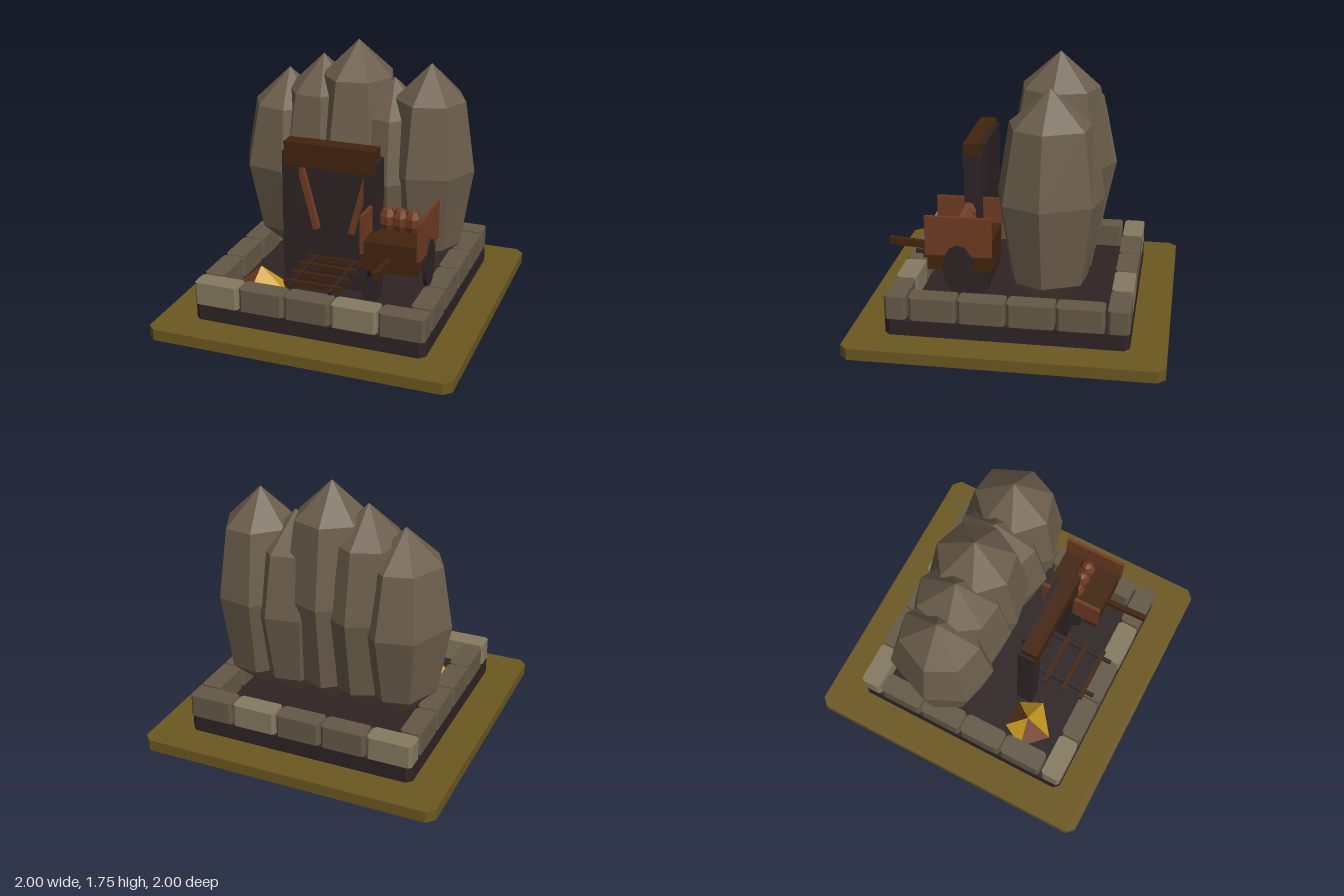
import * as THREE from 'three';

const mat = (name, color) => Object.assign(new THREE.MeshStandardMaterial({ color, flatShading: true }), { name });

export function createModel() {
  const M = {
    grass: mat('olive ground', 0x6b5720),
    dark: mat('dark timber', 0x2e2424),
    stone: mat('wall stone', 0x645947),
    light: mat('pale wall stone', 0x857a60),
    rock: mat('mountain rock', 0x6b5d4b),
    wood: mat('dark wood', 0x42240d),
    plank: mat('red wood', 0x6e3b22),
    gold: mat('gold', 0xc89b20),
  };
  const root = new THREE.Group();
  root.name = 'mineEntrance';

  const add = (name, geo, material, x = 0, y = 0, z = 0, parent = root) => {
    const m = new THREE.Mesh(geo, material);
    m.name = name;
    m.position.set(x, y, z);
    parent.add(m);
    return m;
  };
  // box given by its extents on each axis
  const box = (name, material, [x0, x1], [y0, y1], [z0, z1], parent = root) =>
    add(name, new THREE.BoxGeometry(x1 - x0, y1 - y0, z1 - z0), material,
      (x0 + x1) / 2, (y0 + y1) / 2, (z0 + z1) / 2, parent);
  // upright block with cut vertical corners, standing on its origin
  const block = (w, h, d, c) => {
    const a = w / 2, b = d / 2;
    const s = new THREE.Shape([[a - c, -b], [a, c - b], [a, b - c], [a - c, b], [c - a, b], [-a, b - c], [-a, c - b], [c - a, -b]]
      .map(p => new THREE.Vector2(...p)));
    return new THREE.ExtrudeGeometry(s, { depth: h, bevelEnabled: false }).rotateX(-Math.PI / 2);
  };
  const group = name => {
    const g = new THREE.Group();
    g.name = name;
    root.add(g);
    return g;
  };

  // ground and foundation
  add('ground', block(2, 0.075, 2, 0.05), M.grass);
  add('foundation', block(1.54, 0.105, 1.54, 0.035), M.dark, 0, 0.075);

  // low stone wall around the foundation
  const wall = group('stoneWall');
  const step = 0.309;
  for (let i = 0; i < 5; i++) {
    const x = (i - 2) * step;
    for (const s of [-1, 1])
      add('wallStone', block(0.298, 0.15, 0.138, 0.018), i % 3 ? M.stone : M.light, x, 0.18, s * 0.699, wall);
  }
  for (let i = 0; i < 4; i++) {
    const z = (i - 1.5) * step;
    for (const s of [-1, 1])
      add('wallStone', block(0.138, 0.15, 0.298, 0.018), M.stone, s * 0.699, 0.18, z, wall);
  }

  // mountain: faceted pillars of rock with jittered rings
  let seed = 7;
  const rand = () => ((seed = (seed * 16807) % 2147483647) / 2147483647) - 0.5;
  const pillar = (top, turn) => {
    const n = 7, h = top - 0.2;
    const rings = [[0.42, 0.72], [0.2 + h * 0.52, 1], [top - 0.23, 0.76]];
    const pos = [0, 0.2, 0], idx = [];
    const jitter = Array.from({ length: n }, () => rand() * 0.18);
    rings.forEach(([y, r]) => {
      for (let i = 0; i < n; i++) {
        const a = turn + (i / n) * Math.PI * 2 + jitter[i];
        const k = r * (1 + rand() * 0.05);
        pos.push(Math.cos(a) * 0.31 * k, y, Math.sin(a) * 0.345 * k);
      }
    });
    pos.push(0, top, 0);
    const last = 1 + n * 3;
    for (let i = 0; i < n; i++) {
      const j = (i + 1) % n;
      idx.push(0, 1 + i, 1 + j);
      for (let r = 0; r < 2; r++) {
        const a = 1 + r * n + i, b = 1 + r * n + j;
        idx.push(a, a + n, b, b, a + n, b + n);
      }
      idx.push(last - n + i, last, last - n + j);
    }
    const g = new THREE.BufferGeometry();
    g.setAttribute('position', new THREE.Float32BufferAttribute(pos, 3));
    g.setIndex(idx);
    const flat = g.toNonIndexed();
    flat.computeVertexNormals();
    return flat;
  };
  const mountain = group('mountain');
  [[-0.5, 1.52, Math.PI], [-0.255, 1.635, 0.3], [-0.01, 1.75, 0.1], [0.24, 1.52, 0.5], [0.485, 1.635, 0]]
    .forEach(([x, top, turn]) => add('rockPillar', pillar(top, turn), M.rock, x, 0, -0.235, mountain));

  // timber gate
  const gate = group('gate');
  box('darkOpening', M.dark, [-0.24, 0.24], [0.18, 1.19], [0.205, 0.24], gate);
  box('lintel', M.wood, [-0.31, 0.3], [1.04, 1.2], [0.235, 0.345], gate);
  for (const s of [-1, 1]) {
    const x = s * 0.275 - 0.003;
    box('post', M.dark, [x - 0.048, x + 0.048], [0.18, 1.13], [0.22, 0.335], gate);
    const brace = add('brace', new THREE.BoxGeometry(0.038, 0.5, 0.04), M.plank, s * 0.182, 0.84, 0.265, gate);
    brace.rotation.z = -s * 0.255;
  }

  // rail track
  const track = group('track');
  for (const x of [-0.135, 0.135]) box('rail', M.dark, [x - 0.012, x + 0.012], [0.368, 0.393], [0.185, 0.71], track);
  for (const z of [0.24, 0.37, 0.505, 0.635]) box('tie', M.wood, [-0.195, 0.19], [0.358, 0.395], [z - 0.013, z + 0.013], track);

  // cart
  const cart = group('cart');
  box('cartBody', M.wood, [0.285, 0.635], [0.48, 0.672], [0.105, 0.51], cart);
  for (const x of [0.275, 0.644]) {
    box('sidePanel', M.plank, [x - 0.011, x + 0.011], [0.585, 0.84], [0.1, 0.52], cart);
    const wheel = add('wheel', new THREE.CylinderGeometry(1, 1, 0.026, 12).rotateZ(Math.PI / 2).scale(1, 0.16, 0.1),
      M.dark, x + 0.004, 0.5, 0.31, cart);
    wheel.position.x += x > 0.5 ? 0.003 : 0;
  }
  const handle = add('handle', new THREE.BoxGeometry(0.034, 0.046, 0.3), M.wood, 0.46, 0.577, 0.645, cart);
  handle.rotation.x = -0.08;
  for (const x of [0.375, 0.46, 0.54])
    add('ore', new THREE.SphereGeometry(1, 7, 5).scale(0.058, 0.085, 0.058), M.plank, x, 0.755, 0.3, cart);

  // heap of gold and earth: a five-sided pyramid
  const ring = [[-0.55, 0.25], [-0.36, 0.26], [-0.29, 0.41], [-0.49, 0.56], [-0.64, 0.41]];
  const heap = new THREE.BufferGeometry();
  const pts = [];
  ring.forEach(([x, z], i) => {
    const [u, w] = ring[(i + 1) % 5];
    pts.push(x, 0.181, z, -0.47, 0.325, 0.38, u, 0.181, w);
    heap.addGroup(i * 3, 3, i === 0 || i === 3 ? 1 : 0);
  });
  heap.setAttribute('position', new THREE.Float32BufferAttribute(pts, 3));
  heap.computeVertexNormals();
  add('goldHeap', heap, [M.gold, M.plank]);

  return root;
}
